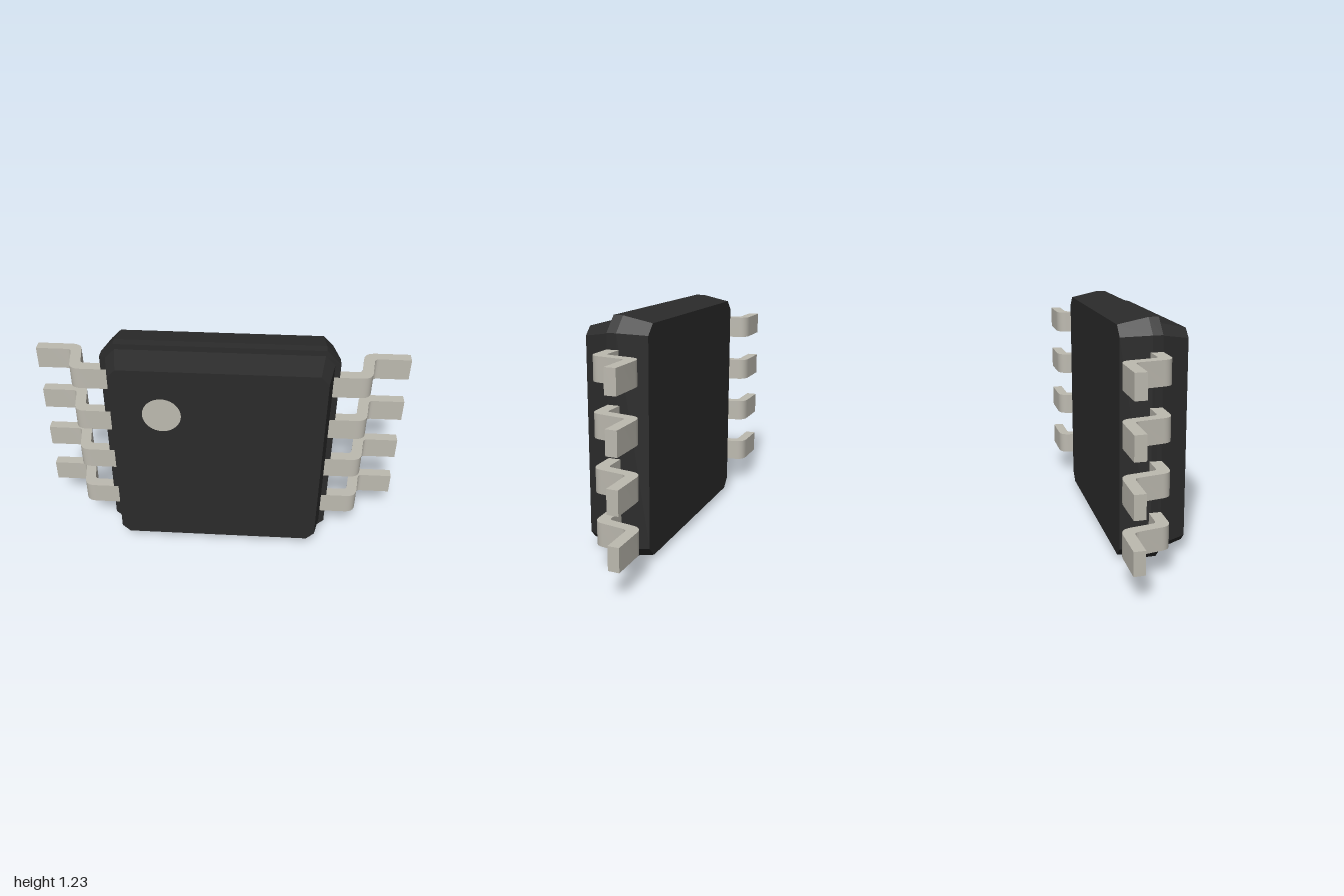
import * as THREE from 'three';
import { toCreasedNormals } from 'three/addons/utils/BufferGeometryUtils.js';

const CENTRE_Y = 0.6125;

// Square outline with cut corners, counter-clockwise seen from the front
function outline(z, h, c) {
  const f = h - c;
  return [[h, -f], [h, f], [f, h], [-f, h], [-h, f], [-h, -f], [-f, -h], [f, -h]]
    .map(([x, y]) => [x, y, z]);
}

// Joins outlines from back to front into a closed, flat-faced solid
function loft(sections) {
  const loops = sections.map((s) => outline(...s));
  const pos = [];
  const tri = (a, b, c) => pos.push(...a, ...b, ...c);
  for (let i = 0; i < loops.length - 1; i++) {
    const back = loops[i], front = loops[i + 1];
    for (let j = 0; j < 8; j++) {
      const k = (j + 1) % 8;
      tri(back[j], back[k], front[k]);
      tri(back[j], front[k], front[j]);
    }
  }
  const first = loops[0], last = loops[loops.length - 1];
  for (let j = 1; j < 7; j++) {
    tri(last[0], last[j], last[j + 1]);
    tri(first[0], first[j + 1], first[j]);
  }
  const geo = new THREE.BufferGeometry();
  geo.setAttribute('position', new THREE.Float32BufferAttribute(pos, 3));
  geo.computeVertexNormals();
  return geo;
}

// Bent strip: side profile in x and -z, extruded along y
function leadGeometry() {
  const s = new THREE.Shape();
  s.moveTo(0.575, -0.051);
  s.lineTo(0.725, -0.051);
  s.quadraticCurveTo(0.78, -0.051, 0.787, 0);
  s.lineTo(0.805, 0.115);
  s.quadraticCurveTo(0.809, 0.14, 0.832, 0.14);
  s.lineTo(1, 0.14);
  s.lineTo(1, 0.197);
  s.lineTo(0.82, 0.197);
  s.quadraticCurveTo(0.761, 0.197, 0.752, 0.145);
  s.lineTo(0.734, 0.03);
  s.quadraticCurveTo(0.731, 0.01, 0.71, 0.01);
  s.lineTo(0.575, 0.01);
  s.closePath();
  const geo = new THREE.ExtrudeGeometry(s, { depth: 0.12, bevelEnabled: false, curveSegments: 8 });
  geo.translate(0, 0, -0.06);
  geo.rotateX(-Math.PI / 2);
  return toCreasedNormals(geo, 0.6);
}

export function createModel() {
  const plastic = new THREE.MeshStandardMaterial({ color: 0x2b2b2b });
  plastic.name = 'black plastic';
  const metal = new THREE.MeshStandardMaterial({ color: 0xbdbab0 });
  metal.name = 'tinned metal';

  const model = new THREE.Group();
  model.name = 'chip';
  const add = (name, geo, mat, x, y, z) => {
    const mesh = new THREE.Mesh(geo, mat);
    mesh.name = name;
    mesh.position.set(x, y, z);
    model.add(mesh);
    return mesh;
  };

  // Body: z, half width, corner cut; the front half is stepped in
  add('body', loft([
    [-0.15, 0.582, 0.052],
    [0, 0.6125, 0.075],
    [0.05, 0.6125, 0.075],
    [0.05, 0.583, 0.052],
    [0.195, 0.55, 0.043],
  ]), plastic, 0, CENTRE_Y, 0);

  // Round pin-one marker on the face
  add('marker', new THREE.CircleGeometry(0.1, 48), metal, -0.287, 0.9, 0.197);

  // Four leads on each side
  const lead = leadGeometry();
  for (let i = 0; i < 4; i++) {
    const y = CENTRE_Y + (i - 1.5) * 0.266;
    add('leftLead' + (i + 1), lead, metal, 0, y, 0);
    add('rightLead' + (i + 1), lead, metal, 0, y, 0).rotation.z = Math.PI;
  }
  return model;
}
